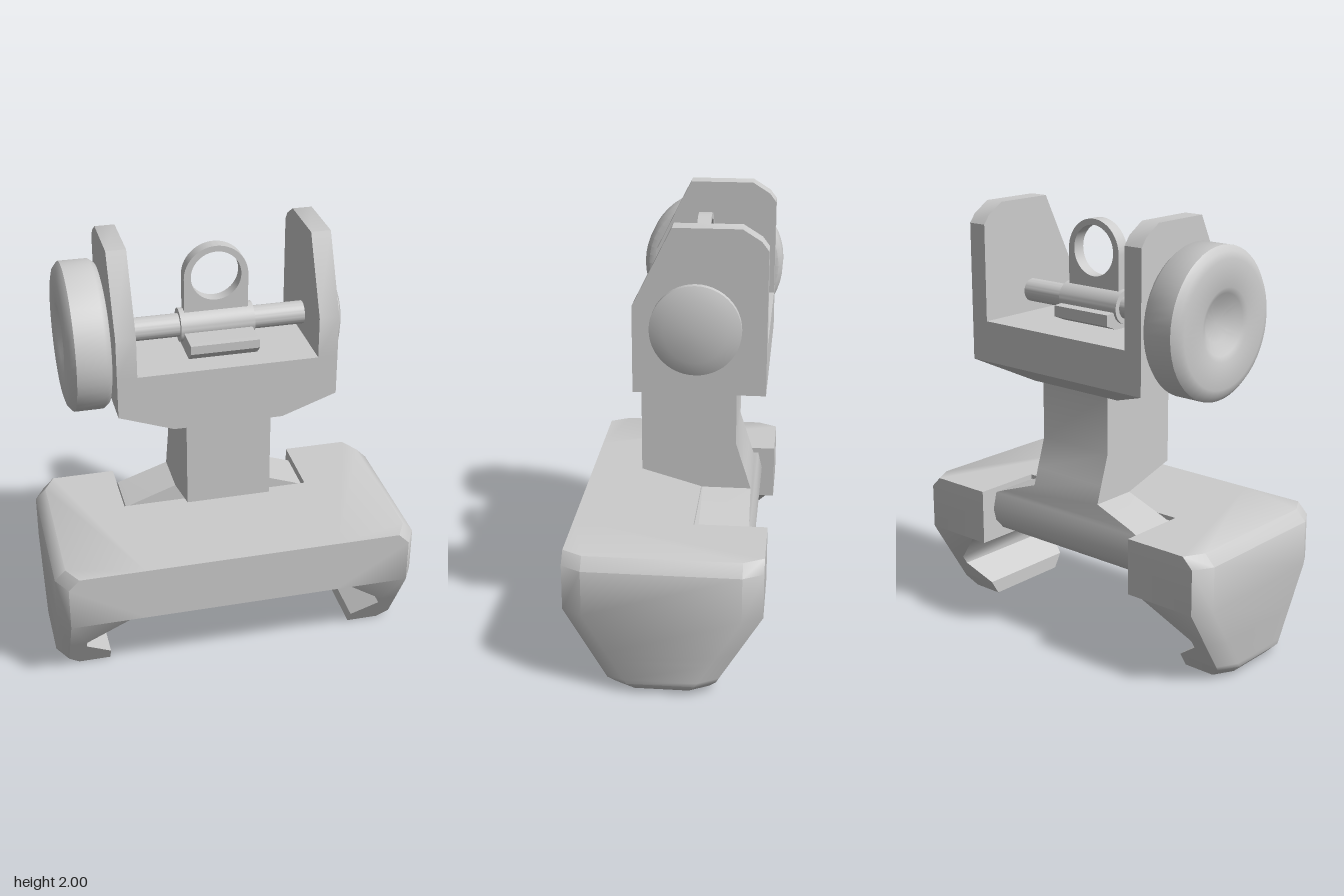
import * as THREE from 'three';
import { toCreasedNormals } from 'three/addons/utils/BufferGeometryUtils.js';

const material = new THREE.MeshStandardMaterial({ color: 0xcccccc });
const AXLE_Y = 1.57, AXLE_Z = -0.11;

function part(name, geometry, crease = 0.85) {
  const mesh = new THREE.Mesh(toCreasedNormals(geometry, crease), material);
  mesh.name = name;
  return mesh;
}

function box(name, x0, x1, y0, y1, z0, z1) {
  const g = new THREE.BoxGeometry(x1 - x0, y1 - y0, z1 - z0);
  g.translate((x0 + x1) / 2, (y0 + y1) / 2, (z0 + z1) / 2);
  return part(name, g);
}

// Skin a stack of horizontal rings { y, pts: [[x, z], ...] } (anticlockwise from above), with caps
function loft(name, rings, mirrored = false) {
  const n = rings[0].pts.length, pos = [], index = [];
  for (const { y, pts } of rings) for (const [x, z] of pts) pos.push(mirrored ? -x : x, y, z);
  const tri = (a, b, c) => (mirrored ? index.push(a, c, b) : index.push(a, b, c));
  for (let r = 0; r < rings.length - 1; r++) {
    for (let i = 0; i < n; i++) {
      const j = (i + 1) % n, a = r * n + i, b = r * n + j;
      tri(a, b, b + n);
      tri(a, b + n, a + n);
    }
  }
  const top = (rings.length - 1) * n;
  for (let i = 1; i < n - 1; i++) {
    tri(0, i + 1, i);
    tri(top, top + i, top + i + 1);
  }
  const g = new THREE.BufferGeometry();
  g.setAttribute('position', new THREE.Float32BufferAttribute(pos, 3));
  g.setIndex(index);
  return part(name, g);
}

const rect = (y, hw, zf, zb) => ({ y, pts: [[-hw, zf], [hw, zf], [hw, zb], [-hw, zb]] });

// Extrude a side outline of [z, y] points from x0 to x1
function sideExtrude(name, outline, x0, x1) {
  const shape = new THREE.Shape(outline.map(([z, y]) => new THREE.Vector2(-z, y)));
  const g = new THREE.ExtrudeGeometry(shape, { depth: x1 - x0, bevelEnabled: false });
  g.rotateY(Math.PI / 2);
  g.translate(x0, 0, 0);
  return part(name, g, 0.6);
}

// Turn a profile of [x, radius] points about the axle line
function turned(name, profile) {
  const g = new THREE.LatheGeometry(profile.map(([x, r]) => new THREE.Vector2(r, x)), 48);
  g.rotateZ(-Math.PI / 2);
  g.translate(0, AXLE_Y, AXLE_Z);
  return part(name, g, 0.7);
}

function createBase() {
  const base = new THREE.Group();
  base.name = 'clampBase';
  base.add(box('baseBeam', -0.45, 0.45, 0.38, 0.64, -0.1, 0.44));
  // End blocks with hooked jaws: [y, inner x, outer x]
  const levels = [[0, 0.6, 0.8], [0.05, 0.6, 0.85], [0.07, 0.6, 0.85], [0.16, 0.72, 0.85], [0.2, 0.72, 0.85],
    [0.38, 0.53, 0.85], [0.38, 0.45, 0.85], [0.59, 0.45, 0.85], [0.64, 0.45, 0.8]];
  const rings = levels.map(([y, xi, xo]) => {
    const t = Math.min(y / 0.38, 1), zf = 0.22 + 0.22 * t, zb = -0.2 - 0.23 * t;
    return { y, pts: [[xi, zf], [xo - 0.05, zf], [xo, zf - 0.09], [xo, zb + 0.09], [xo - 0.05, zb], [xi, zb]] };
  });
  base.add(loft('leftJaw', rings), loft('rightJaw', rings, true));
  return base;
}

function createPost() {
  const post = new THREE.Group();
  post.name = 'foldingPost';
  post.add(loft('postColumn', [
    rect(0.62, 0.44, -0.12, -0.35), rect(0.64, 0.39, -0.12, -0.345), rect(0.71, 0.195, -0.12, -0.34),
    rect(0.79, 0.195, 0.16, -0.315), rect(0.93, 0.195, 0.16, -0.27), rect(1.2, 0.195, 0.16, -0.27),
  ]));
  // Rounded hinge foot sitting in the notch of the base
  post.add(sideExtrude('hingeFoot', [[-0.09, 0.62], [-0.09, 0.4], [-0.24, 0.4], [-0.31, 0.43],
    [-0.355, 0.48], [-0.37, 0.54], [-0.35, 0.62]], -0.44, 0.44));
  return post;
}

function createYoke() {
  const yoke = new THREE.Group();
  yoke.name = 'yoke';
  yoke.add(loft('yokeBridge', [
    rect(1.19, 0.25, 0.16, -0.27), rect(1.28, 0.5, 0.16, -0.41), rect(1.47, 0.5, 0.16, -0.41),
  ]));
  const ear = [[0.16, 1.47], [-0.41, 1.47], [-0.41, 1.91], [-0.38, 1.95], [-0.3, 2], [-0.01, 2], [0.16, 1.66]];
  yoke.add(sideExtrude('leftEar', ear, 0.41, 0.5), sideExtrude('rightEar', ear, -0.5, -0.41));
  return yoke;
}

function createAperture() {
  const aperture = new THREE.Group();
  aperture.name = 'aperture';
  // Upright ring with straight shoulders
  const s = new THREE.Shape();
  s.moveTo(-0.147, 1.58);
  s.lineTo(0.147, 1.58);
  s.lineTo(0.147, 1.8);
  s.absarc(0, 1.8, 0.147, 0, Math.PI, false);
  s.closePath();
  s.holes.push(new THREE.Path().absarc(0, 1.805, 0.115, 0, Math.PI * 2, true));
  const ring = new THREE.ExtrudeGeometry(s, { depth: 0.06, bevelEnabled: false, curveSegments: 32 });
  ring.translate(0, 0, -0.14);
  aperture.add(part('apertureRing', ring));
  aperture.add(turned('apertureSleeve', [[-0.17, 0], [-0.17, 0.077], [0.17, 0.077], [0.17, 0]]));
  // Folded flat paddle below the sleeve
  aperture.add(sideExtrude('foldedPaddle', [[0.1, 1.56], [-0.11, 1.56], [-0.23, 1.55], [-0.23, 1.5],
    [-0.17, 1.475], [0.05, 1.475], [0.1, 1.52]], -0.157, 0.157));
  return aperture;
}

export function createModel() {
  const model = new THREE.Group();
  model.name = 'foldingSight';
  model.add(createBase(), createPost(), createYoke(), createAperture());
  model.add(turned('axle', [[-0.54, 0], [-0.54, 0.053], [0.52, 0.053], [0.52, 0]]));
  // Dished adjustment wheel on the right, domed cap on the left
  model.add(turned('adjustmentWheel', [[-0.66, 0], [-0.665, 0.08], [-0.7, 0.135], [-0.71, 0.16], [-0.71, 0.28],
    [-0.702, 0.31], [-0.68, 0.335], [-0.55, 0.335], [-0.525, 0.315], [-0.52, 0.29], [-0.52, 0]]));
  model.add(turned('axleCap', [[0.49, 0], [0.49, 0.195], [0.53, 0.195], [0.553, 0.135], [0.553, 0]]));
  return model;
}
